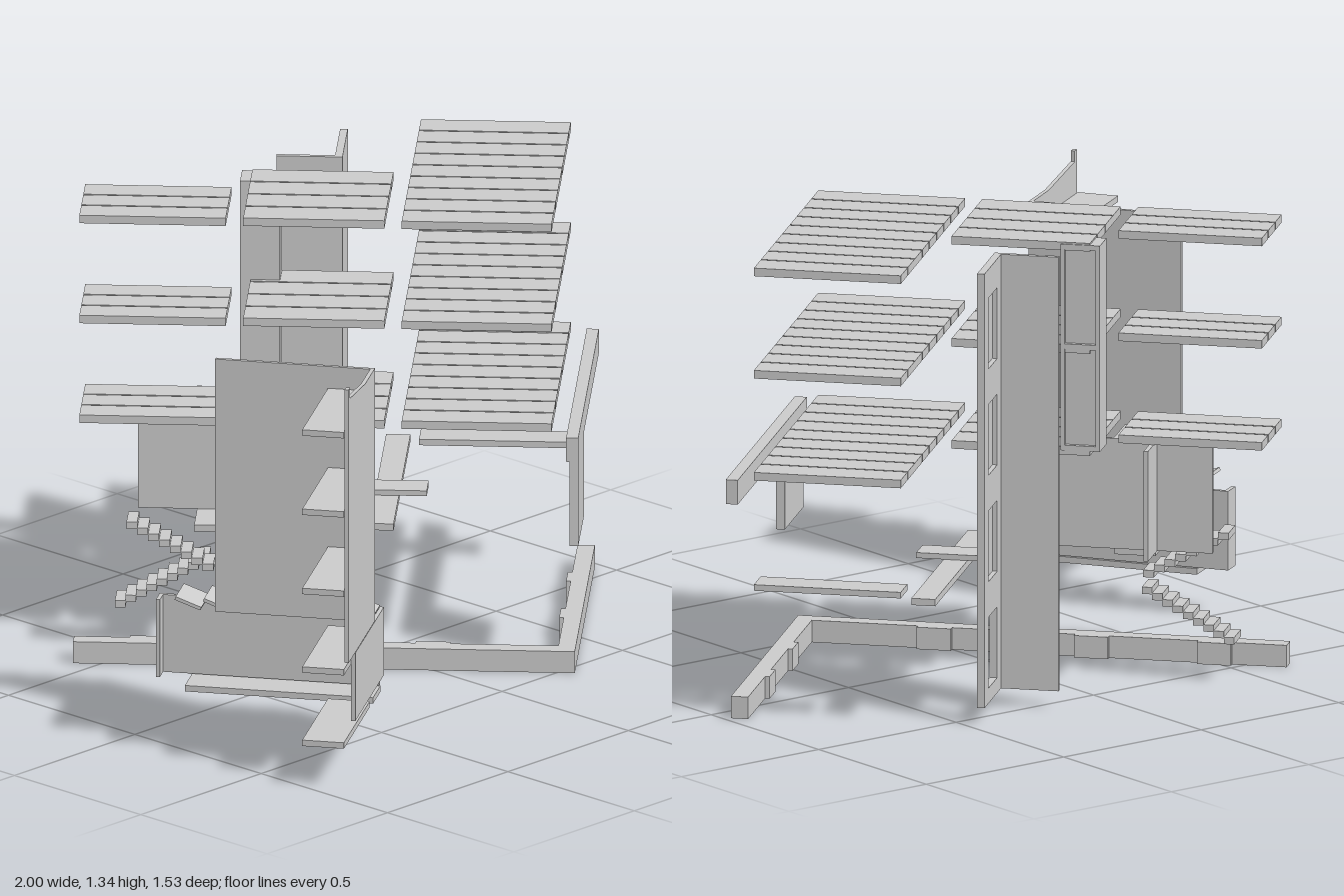
import * as THREE from 'three';

const concrete = new THREE.MeshStandardMaterial({ color: 0xcccccc });
concrete.name = 'light grey concrete';

function addMesh(parent, name, geometry) {
  const mesh = new THREE.Mesh(geometry, concrete);
  mesh.name = name;
  parent.add(mesh);
  return mesh;
}

// Box between limits: a runs along local x, b runs backwards (local -z)
function block(parent, name, [a0, a1], [y0, y1], [b0, b1]) {
  const mesh = addMesh(parent, name, new THREE.BoxGeometry(a1 - a0, y1 - y0, b1 - b0));
  mesh.position.set((a0 + a1) / 2, (y0 + y1) / 2, -(b0 + b1) / 2);
  return mesh;
}

// Upright panel in the local xy plane, with rectangular openings
function panel(parent, name, [a0, a1], [y0, y1], b, depth, holes) {
  const rect = (p, l, r, lo, hi) =>
    p.moveTo(l, lo).lineTo(r, lo).lineTo(r, hi).lineTo(l, hi).closePath();
  const shape = rect(new THREE.Shape(), a0, a1, y0, y1);
  for (const h of holes) shape.holes.push(rect(new THREE.Path(), ...h));
  const geometry = new THREE.ExtrudeGeometry(shape, { depth, bevelEnabled: false });
  geometry.translate(0, 0, -b - depth);
  return addMesh(parent, name, geometry);
}

// Floor made of planks laid side by side with narrow joints
function plankFloor(parent, name, [a0, a1], [b0, b1], y, count) {
  const floor = new THREE.Group();
  floor.name = name;
  const pitch = (a1 - a0) / count;
  for (let i = 0; i < count; i++) {
    const start = a0 + i * pitch;
    block(floor, 'floorPlank', [start, start + pitch - 0.006], [y - 0.012, y + 0.012], [b0, b1]);
  }
  parent.add(floor);
}

// Open flight of steps from (b0, y0) to (b1, y1)
function flight(parent, name, a, [b0, b1], [y0, y1], count) {
  const stairs = new THREE.Group();
  stairs.name = name;
  const run = (b1 - b0) / count, rise = (y1 - y0) / count;
  for (let i = 0; i < count; i++) {
    const s = b0 + i * run, y = y0 + i * rise;
    block(stairs, 'step', a, [y, y + rise * 1.2], [Math.min(s, s + run), Math.max(s, s + run)]);
  }
  parent.add(stairs);
}

function mainBuilding() {
  const g = new THREE.Group();
  g.name = 'mainBuilding';
  g.position.set(0.26, 0, 0.54);
  g.rotation.y = 0.70;

  // Corner plinth with small inner buttresses
  block(g, 'sidePlinth', [0, 0.05], [0, 0.065], [0, 1.44]);
  block(g, 'frontPlinth', [0.05, 0.94], [0, 0.065], [0, 0.05]);
  for (const b of [0.36, 0.82, 1.18]) block(g, 'sideButtress', [0.05, 0.065], [0, 0.065], [b, b + 0.1]);
  for (const a of [0.3, 0.62]) block(g, 'frontButtress', [a, a + 0.08], [0, 0.065], [0.05, 0.063]);

  // Three storeys of plank floors, each in three bays
  for (const y of [0.723, 1.025, 1.328]) {
    plankFloor(g, 'frontBayFloor', [0.055, 0.96], [0.07, 0.5], y, 9);
    plankFloor(g, 'middleBayFloor', [0.055, 0.49], [0.55, 0.955], y, 4);
    plankFloor(g, 'rearBayFloor', [0.05, 0.33], [1.005, 1.425], y, 3);
  }

  // Facade wall and the beam above it
  block(g, 'facadeWall', [0, 0.26], [0.385, 0.64], [-0.01, 0.015]);
  block(g, 'facadeBeam', [0, 0.965], [0.64, 0.712], [-0.01, 0.025]);

  // Walls of the lower storey
  block(g, 'longWall', [0.262, 0.275], [0.385, 0.711], [0.72, 1.27]);
  block(g, 'frontCrossWall', [0.115, 0.262], [0.385, 0.711], [0.98, 0.993]);
  block(g, 'rearCrossWall', [0.275, 0.4], [0.385, 0.711], [1.095, 1.108]);
  block(g, 'wallPlate', [0.12, 0.262], [0.365, 0.385], [0.98, 1.1]);

  // Remaining pieces of the first floor
  block(g, 'endPlank', [0.86, 0.955], [0.385, 0.403], [0.07, 0.5]);
  block(g, 'floorBeam', [0.16, 0.95], [0.366, 0.386], [0.53, 0.6]);
  block(g, 'shortPlank', [0.41, 0.5], [0.386, 0.402], [0.45, 0.68]);

  // Tall tower: plain wing wall and a recessed window wall
  block(g, 'towerWingWall', [0.622, 0.637], [0.05, 1.335], [0.705, 0.895]);
  const window = (y) => [0.69, 0.81, y, y + 0.21];
  panel(g, 'towerWindowWall', [0.637, 0.868], [0.05, 1.335], 0.705, 0.008, [window(0.095)]);
  panel(g, 'towerWindowFrame', [0.637, 0.868], [0.05, 1.335], 0.713, 0.014,
    [0.095, 0.41, 0.725, 1.04].map(window));

  // Short tower with a framed back
  block(g, 'shortTower', [0.395, 0.475], [0.725, 1.335], [0.87, 0.985]);
  for (const b of [0.87, 0.973])
    block(g, 'shortTowerPost', [0.475, 0.49], [0.725, 1.335], [b, b + 0.012]);
  for (const y of [0.725, 1.025, 1.32])
    block(g, 'shortTowerRail', [0.475, 0.488], [y, y + 0.015], [0.882, 0.973]);

  // Two flights turning under the rear bay
  flight(g, 'lowerStair', [0.165, 0.26], [1.33, 1.06], [0.115, 0.268], 9);
  flight(g, 'upperStair', [0.05, 0.145], [1.04, 1.29], [0.27, 0.41], 8);
  return g;
}

function sideBuilding() {
  const g = new THREE.Group();
  g.name = 'sideBuilding';
  g.position.set(-0.49, 0, 0.5);
  g.rotation.y = 0.562;

  // Upper walls stacked in three storeys
  const levels = [0.38, 0.635, 0.89, 1.145];
  for (let i = 0; i < 3; i++) {
    const y = [levels[i], levels[i + 1]];
    block(g, 'upperFrontWall', [-0.51, -0.13], y, [0, 0.012]);
    block(g, 'upperSideWall', [-0.142, -0.13], y, [0.012, 0.465]);
  }

  // Sloping parapet with a raised end
  const parapet = new THREE.Shape();
  parapet.moveTo(-0.51, 1.145).lineTo(-0.27, 1.145).lineTo(-0.49, 1.175)
    .lineTo(-0.49, 1.207).lineTo(-0.51, 1.207).closePath();
  const parapetGeometry = new THREE.ExtrudeGeometry(parapet, { depth: 0.012, bevelEnabled: false });
  parapetGeometry.translate(0, 0, -0.012);
  addMesh(g, 'parapet', parapetGeometry);

  // Balcony floors behind the front wall
  for (const y of [0.13, 0.352, 0.59, 0.83, 1.07])
    block(g, 'balconyFloor', [-0.515, -0.142], [y - 0.009, y + 0.009], [0.013, 0.135]);

  // Lower walls and ground floor strip
  block(g, 'lowerFrontWall', [-0.415, 0], [0.172, 0.378], [0, 0.012]);
  block(g, 'lowerSideWall', [-0.012, 0], [0.142, 0.376], [0.012, 0.655]);
  block(g, 'lowerEndWall', [-0.06, -0.012], [0.142, 0.376], [0.643, 0.655]);
  block(g, 'groundStrip', [-0.11, 0], [0.121, 0.139], [0.01, 0.56]);

  // Tilted treads along the side wall
  for (let i = 0; i < 7; i++) {
    const b = 0.01 + i * 0.083;
    const tread = block(g, 'tiltedTread', [-0.125, -0.005], [0.388, 0.398], [b, b + 0.08]);
    tread.rotation.x = 0.35;
  }
  return g;
}

export function createModel() {
  const model = new THREE.Group();
  model.name = 'buildingFragments';
  model.add(mainBuilding(), sideBuilding());
  return model;
}
